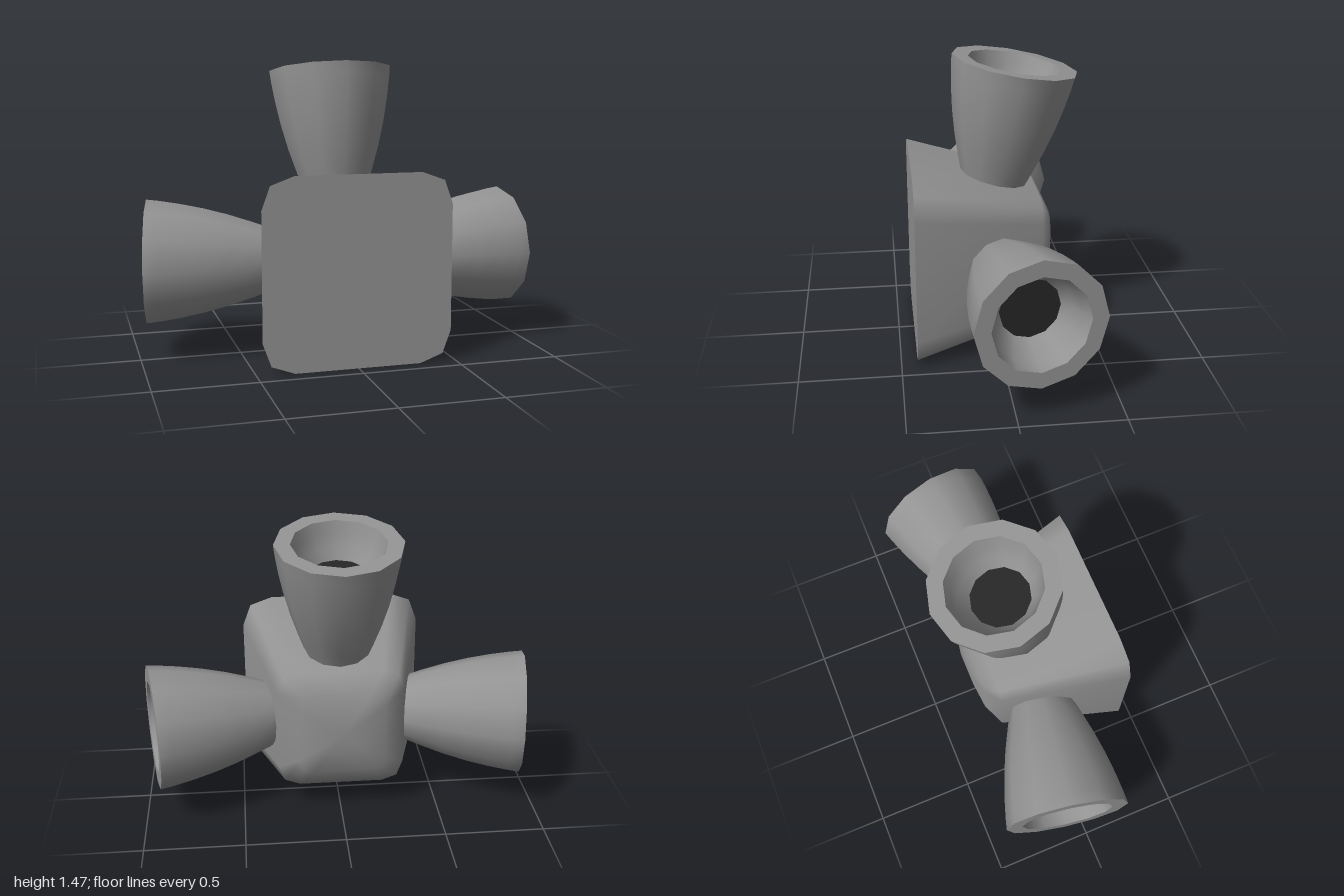
import * as THREE from 'three';
import { toCreasedNormals } from 'three/addons/utils/BufferGeometryUtils.js';

const CENTRE_Y = 0.472;

// Square outline with two-step rounded corners, counter-clockwise from the front
function outline(half) {
  const a = half * 0.667, m = half * 0.911;
  const corner = [[half, a], [m, m], [a, half]];
  const points = [];
  for (let q = 0; q < 4; q++) {
    const c = Math.round(Math.cos(q * Math.PI / 2)), s = Math.round(Math.sin(q * Math.PI / 2));
    for (const [x, y] of corner) points.push(new THREE.Vector2(x * c - y * s, x * s + y * c));
  }
  return points;
}

// Tapered shell with a shallow domed back, lofted through [z, half width] sections
function shellGeometry(sections) {
  const positions = [], index = [], n = 12;
  for (const [z, half] of sections) {
    for (const p of outline(half)) positions.push(p.x, p.y, z);
  }
  for (let i = 0; i < sections.length - 1; i++) {
    for (let j = 0; j < n; j++) {
      const k = (j + 1) % n;
      const a = i * n + j, b = i * n + k, c = b + n, d = a + n;
      index.push(a, d, c, a, c, b);
    }
  }
  // back centre point
  const last = (sections.length - 1) * n, tip = sections.length * n;
  positions.push(0, 0, sections[sections.length - 1][0] - 0.004);
  for (let j = 0; j < n; j++) index.push(last + j, tip, last + (j + 1) % n);
  const geometry = new THREE.BufferGeometry();
  geometry.setAttribute('position', new THREE.Float32BufferAttribute(positions, 3));
  geometry.setIndex(index);
  geometry.computeVertexNormals();
  return geometry;
}

export function createModel() {
  const grey = new THREE.MeshStandardMaterial({ color: 0x939393 });
  grey.name = 'grey metal';
  const black = new THREE.MeshStandardMaterial({ color: 0x262626 });
  black.name = 'dark throat';

  const model = new THREE.Group();
  model.name = 'thrusterBlock';
  const add = (parent, name, geometry, material) => {
    const mesh = new THREE.Mesh(geometry, material);
    mesh.name = name;
    parent.add(mesh);
    return mesh;
  };

  // Housing: tapered body and flat front plate
  const housing = new THREE.Group();
  housing.name = 'housing';
  housing.position.y = CENTRE_Y;
  model.add(housing);
  add(housing, 'housingShell',
    shellGeometry([[0.42, 0.472], [-0.21, 0.315], [-0.265, 0.215], [-0.285, 0.1]]), grey);
  add(housing, 'frontPlate',
    new THREE.ShapeGeometry(new THREE.Shape(outline(0.472))), grey).position.z = 0.42;

  // Nozzle: outer bell, flat rim and inner bowl, with the mouth at y = 0
  const profile = [
    [0.157, -0.63], [0.196, -0.52], [0.235, -0.4], [0.267, -0.28], [0.292, -0.16],
    [0.308, -0.06], [0.315, 0], [0.235, 0], [0.215, -0.06], [0.186, -0.12], [0.145, -0.18],
  ].map(([r, y]) => new THREE.Vector2(r, y));
  const bell = toCreasedNormals(new THREE.LatheGeometry(profile, 12), 0.65);
  const throat = new THREE.CircleGeometry(0.15, 24).rotateX(-Math.PI / 2);

  // Three nozzles around the housing, each leaning 10 degrees backwards
  const places = [['topNozzle', 0], ['leftNozzle', -Math.PI / 2], ['rightNozzle', Math.PI / 2]];
  for (const [name, turn] of places) {
    const arm = new THREE.Group();
    arm.name = name;
    arm.position.y = CENTRE_Y;
    arm.rotation.z = turn;
    const nozzle = new THREE.Group();
    nozzle.name = name + 'Bell';
    nozzle.position.set(0, 0.945, -0.11);
    nozzle.rotation.x = -Math.PI / 18;
    add(nozzle, 'bell', bell, grey);
    add(nozzle, 'throat', throat, black).position.y = -0.176;
    arm.add(nozzle);
    model.add(arm);
  }
  return model;
}
